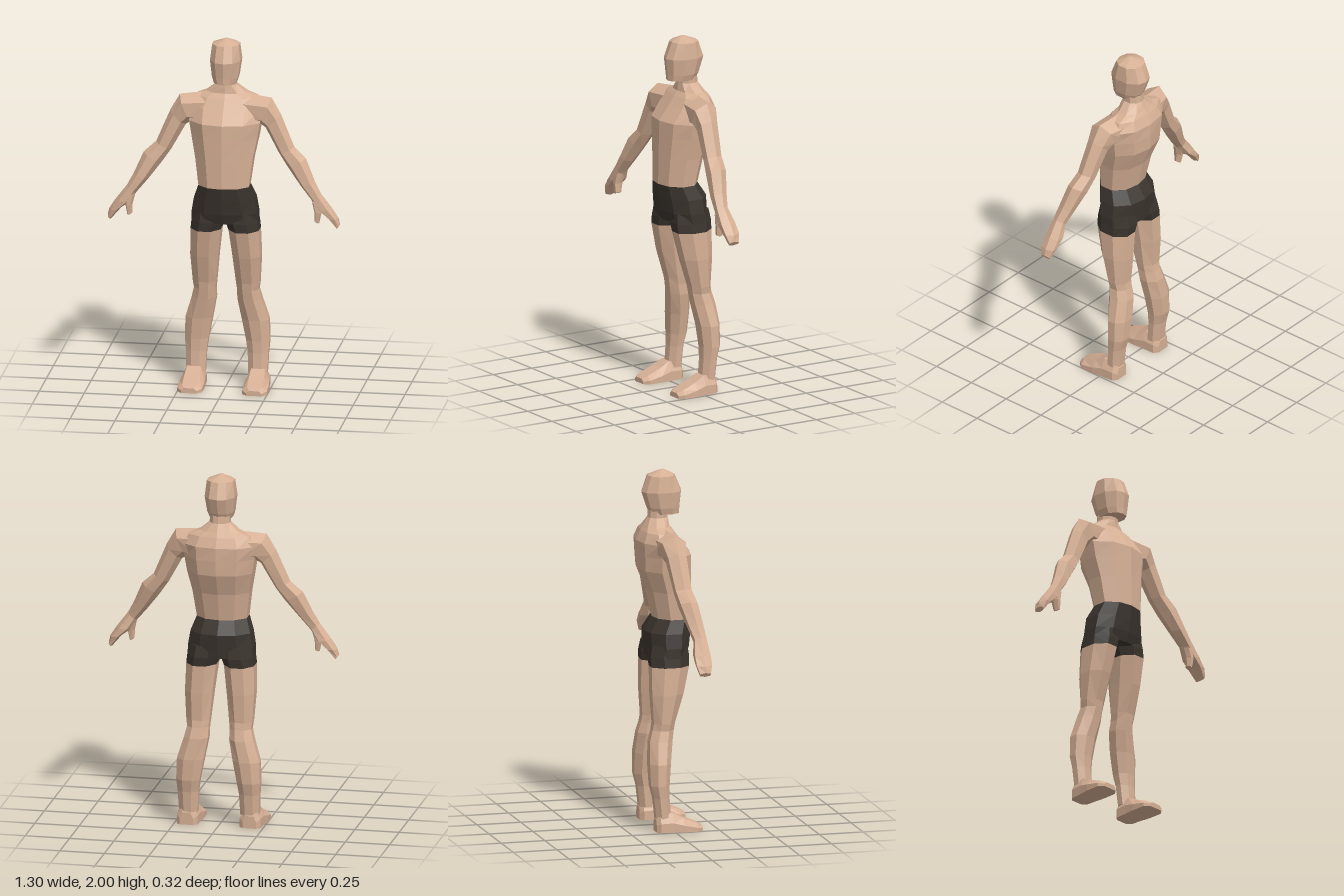
import * as THREE from 'three';

const skin = new THREE.MeshStandardMaterial({ color: 0xd6b095 });
skin.name = 'skin';
const cloth = new THREE.MeshStandardMaterial({ color: 0x3a332d });
cloth.name = 'shorts cloth';

// Faceted closed surface through rings of [x, y, z] points; side = -1 mirrors it in x
function loft(name, rings, material, side = 1) {
  const n = rings[0].length;
  const pos = [];
  const center = (ring) => [0, 1, 2].map((k) => ring.reduce((s, p) => s + p[k], 0) / n);
  const tri = (a, b, c) => pos.push([a, b, c]);
  for (let r = 0; r < rings.length - 1; r++) {
    const A = rings[r], B = rings[r + 1];
    for (let i = 0; i < n; i++) {
      const j = (i + 1) % n;
      tri(A[i], A[j], B[j]);
      tri(A[i], B[j], B[i]);
    }
  }
  const first = rings[0], last = rings[rings.length - 1];
  const c0 = center(first), c1 = center(last);
  for (let i = 0; i < n; i++) {
    const j = (i + 1) % n;
    tri(first[j], first[i], c0);
    tri(last[i], last[j], c1);
  }
  // Signed volume decides the corner order
  const v = pos.reduce((s, [a, b, c]) => s
    + a[0] * (b[1] * c[2] - b[2] * c[1])
    + a[1] * (b[2] * c[0] - b[0] * c[2])
    + a[2] * (b[0] * c[1] - b[1] * c[0]), 0) * side;
  const flat = pos.flatMap(([a, b, c]) => (v > 0 ? [a, b, c] : [a, c, b]))
    .flatMap(([x, y, z]) => [x * side, y, z]);
  const geo = new THREE.BufferGeometry();
  geo.setAttribute('position', new THREE.Float32BufferAttribute(flat, 3));
  geo.computeVertexNormals();
  const mesh = new THREE.Mesh(geo, material);
  mesh.name = name;
  return mesh;
}

// Ten-sided body section with a front and a back ridge
function bodyRing([y, hw, zf, zb]) {
  const zc = (zf + zb) / 2, zh = (zf - zb) / 2;
  const half = [[0, 1], [0.58, 0.86], [1, 0.36], [1, -0.36], [0.58, -0.86], [0, -1]];
  const left = half.map(([u, w]) => [u * hw, y, zc + w * zh]);
  return [...left, ...left.slice(1, 5).reverse().map(([x, yy, z]) => [-x, yy, z])];
}

// Eight-sided leg section with flat sides
function legRing([y, xi, xo, zf, zb]) {
  const k = 1 / Math.cos(Math.PI / 8);
  return Array.from({ length: 8 }, (_, i) => {
    const a = (i + 0.5) * Math.PI / 4;
    return [(xi + xo) / 2 + Math.cos(a) * k * (xo - xi) / 2, y,
      (zf + zb) / 2 + Math.sin(a) * k * (zf - zb) / 2];
  });
}

// Six-sided arm section between an outer and an inner point
function armRing([xo, yo, xi, yi, zf, zb]) {
  return Array.from({ length: 6 }, (_, i) => {
    const a = i * Math.PI / 3, c = Math.cos(a), s = Math.sin(a) / 0.866;
    return [(xo + xi) / 2 + c * (xo - xi) / 2, (yo + yi) / 2 + c * (yo - yi) / 2,
      (zf + zb) / 2 + s * (zf - zb) / 2];
  });
}

// Six-sided foot section across z
function footRing([z, xi, xo, h]) {
  const inset = (xo - xi) * 0.2;
  return [[xi, 0, z], [xo, 0, z], [xo, h * 0.5, z], [xo - inset, h, z], [xi + inset, h, z], [xi, h * 0.5, z]];
}

export function createModel() {
  const model = new THREE.Group();
  model.name = 'figure';

  // Head: jaw, cheeks, temples, crown
  model.add(loft('head', [
    [1.755, 0.062, 0.086, -0.08],
    [1.79, 0.073, 0.088, -0.1],
    [1.88, 0.084, 0.098, -0.13],
    [1.97, 0.074, 0.06, -0.095],
    [2.0, 0.006, 0.0, -0.02],
  ].map(bodyRing), skin));

  // Torso from waist up into the neck
  model.add(loft('torso', [
    [1.175, 0.14, 0.15, -0.07],
    [1.33, 0.16, 0.147, -0.105],
    [1.45, 0.183, 0.145, -0.155],
    [1.535, 0.197, 0.143, -0.16],
    [1.61, 0.2, 0.085, -0.16],
    [1.665, 0.17, 0.045, -0.135],
    [1.69, 0.11, 0.025, -0.12],
    [1.735, 0.055, 0.02, -0.095],
    [1.79, 0.055, 0.02, -0.09],
  ].map(bodyRing), skin));

  // Shorts: pelvis block, leg openings are added per side
  model.add(loft('shortsSeat', [
    [0.965, 0.184, 0.113, -0.112],
    [1.02, 0.182, 0.13, -0.115],
    [1.1, 0.168, 0.142, -0.12],
    [1.175, 0.141, 0.151, -0.071],
  ].map(bodyRing), cloth));

  for (const side of [1, -1]) {
    const tag = side > 0 ? 'left' : 'right';
    const add = (part, rings, mat) => model.add(loft(tag + part, rings, mat, side));

    add('ShortsLeg', [
      [1.03, 0.002, 0.172, 0.1, -0.1],
      [0.965, 0.004, 0.184, 0.108, -0.112],
      [0.915, 0.022, 0.19, 0.105, -0.108],
    ].map(legRing), cloth);

    // Thigh, knee, calf and ankle
    add('Leg', [
      [0.915, 0.022, 0.19, 0.105, -0.108],
      [0.76, 0.04, 0.195, 0.07, -0.108],
      [0.6, 0.055, 0.186, 0.022, -0.098],
      [0.56, 0.06, 0.18, 0.016, -0.105],
      [0.5, 0.06, 0.195, 0.006, -0.122],
      [0.38, 0.082, 0.232, -0.012, -0.132],
      [0.26, 0.105, 0.236, -0.022, -0.128],
      [0.19, 0.115, 0.23, -0.022, -0.11],
      [0.07, 0.12, 0.225, -0.012, -0.097],
    ].map(legRing), skin);

    add('Foot', [
      [-0.1, 0.14, 0.215, 0.07],
      [-0.08, 0.118, 0.236, 0.1],
      [-0.01, 0.115, 0.242, 0.106],
      [0.05, 0.11, 0.25, 0.075],
      [0.13, 0.112, 0.25, 0.042],
      [0.16, 0.138, 0.225, 0.028],
    ].map(footRing), skin);

    // Shoulder, elbow, wrist and mitten hand
    add('Arm', [
      [0.1, 1.687, 0.12, 1.5, 0.05, -0.11],
      [0.256, 1.67, 0.19, 1.52, 0.06, -0.075],
      [0.308, 1.58, 0.222, 1.5, 0.05, -0.055],
      [0.385, 1.4, 0.3, 1.36, 0.058, -0.033],
      [0.452, 1.34, 0.352, 1.285, 0.075, -0.022],
      [0.505, 1.22, 0.425, 1.19, 0.092, 0.01],
      [0.54, 1.155, 0.488, 1.115, 0.098, 0.03],
      [0.605, 1.07, 0.52, 1.06, 0.105, 0.016],
      [0.64, 1.015, 0.575, 1.02, 0.103, 0.016],
      [0.648, 0.98, 0.63, 0.955, 0.09, 0.03],
    ].map(armRing), skin);

    add('Thumb', [
      [0.54, 1.1, 0.492, 1.11, 0.1, 0.045],
      [0.548, 1.05, 0.507, 1.05, 0.104, 0.055],
      [0.535, 0.988, 0.508, 1.0, 0.1, 0.065],
    ].map(armRing), skin);
  }
  return model;
}
